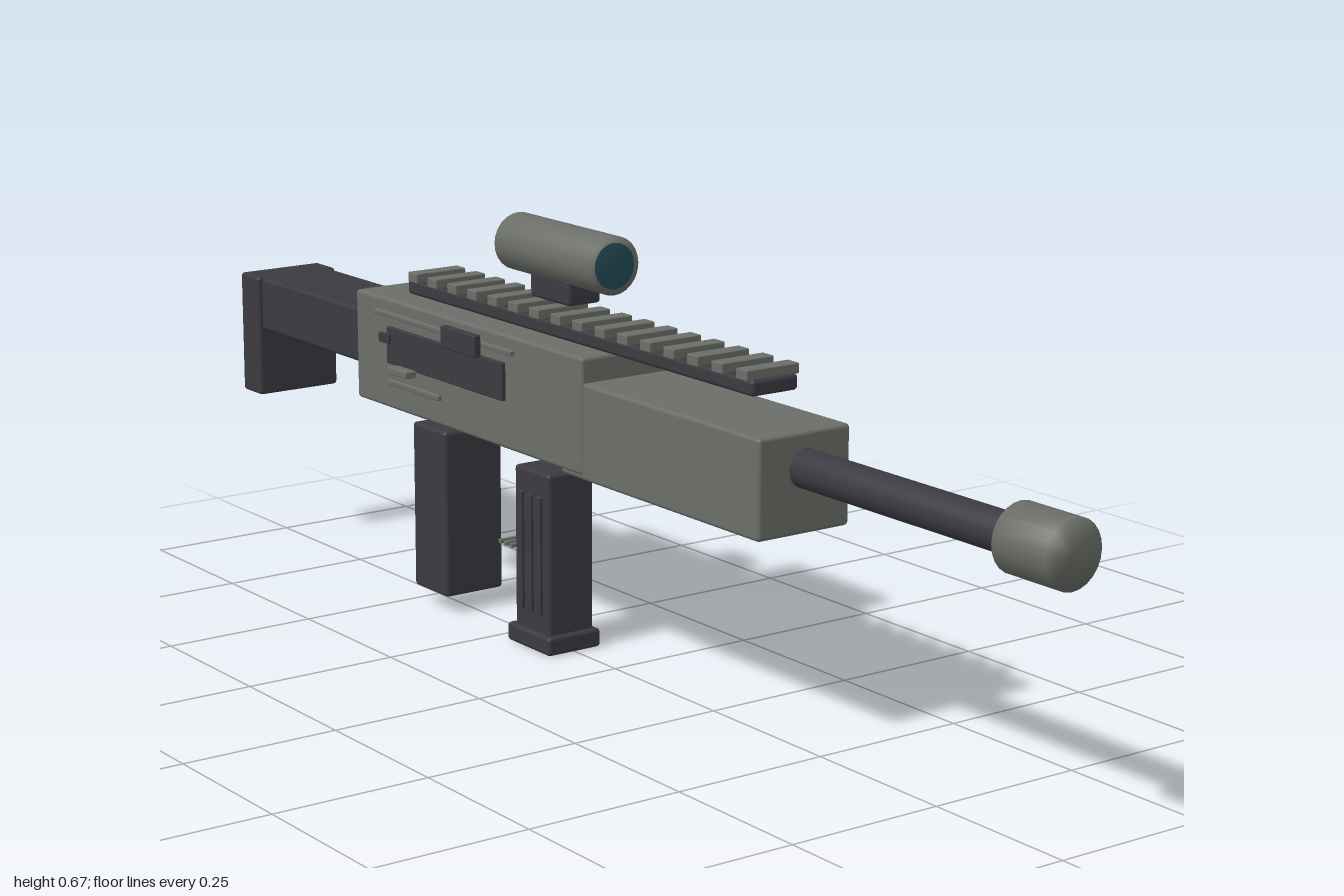
import * as THREE from 'three';
import { RoundedBoxGeometry } from 'three/addons/geometries/RoundedBoxGeometry.js';

export function createModel() {
  const model = new THREE.Group();
  model.name = 'rifle';
  const mat = (name, color) => {
    const m = new THREE.MeshStandardMaterial({ color });
    m.name = name;
    return m;
  };
  const grey = mat('gunmetal grey', 0x6b6e68);
  const dark = mat('dark polymer', 0x3b3a40);
  const glass = mat('lens glass', 0x234b57);

  const add = (name, geometry, material) => {
    const mesh = new THREE.Mesh(geometry, material);
    mesh.name = name;
    model.add(mesh);
    return mesh;
  };
  // Softened box given by its limits on each axis
  const box = (name, material, x0, x1, y0, y1, z0, z1, r = 0.006) => {
    const w = x1 - x0, h = y1 - y0, d = z1 - z0;
    const g = new RoundedBoxGeometry(w, h, d, 2, Math.min(r, w * 0.3, h * 0.3, d * 0.3));
    add(name, g, material).position.set((x0 + x1) / 2, (y0 + y1) / 2, (z0 + z1) / 2);
  };
  // Smoothly shaded closed cylinder along x
  const tube = (name, material, x0, x1, y, r, segments = 24) => {
    const profile = [[0, x0], [r, x0], [r, x1], [0, x1]].map(p => new THREE.Vector2(...p));
    const mesh = add(name, new THREE.LatheGeometry(profile, segments), material);
    mesh.rotation.z = -Math.PI / 2;
    mesh.position.y = y;
  };

  // Body, barrel and stock
  box('receiver', grey, -0.605, 0.035, 0.326, 0.506, -0.084, 0.086);
  box('handguard', grey, -0.025, 0.457, 0.318, 0.467, -0.081, 0.083);
  tube('barrel', dark, 0.43, 0.92, 0.414, 0.029);
  tube('muzzle', grey, 0.9, 1.0, 0.414, 0.05);
  box('stock', dark, -0.96, -0.59, 0.378, 0.468, -0.07, 0.07);
  box('buttPlate', dark, -1.0, -0.94, 0.263, 0.47, -0.076, 0.078);

  // Grip and trigger bars
  box('grip', dark, -0.487, -0.39, 0.028, 0.303, -0.054, 0.055);
  for (let i = 0; i < 3; i++) {
    const x = -0.381 + i * 0.016;
    box('triggerBar', grey, x - 0.004, x + 0.004, 0.106, 0.113, -0.118, -0.042, 0.001);
  }

  // Magazine with ribs on both sides
  box('magazine', dark, -0.21, -0.115, 0.025, 0.288, -0.041, 0.043);
  box('magazineBase', dark, -0.222, -0.105, 0.0, 0.03, -0.048, 0.051);
  for (const x of [-0.188, -0.163, -0.138])
    for (const z of [-0.041, 0.043])
      box('magazineRib', dark, x - 0.005, x + 0.005, 0.06, 0.25, z - 0.005, z + 0.005, 0.002);

  // Top rail
  box('railBase', dark, -0.515, 0.39, 0.508, 0.532, -0.04, 0.043);
  for (let i = 0; i < 16; i++) {
    const x = -0.492 + i * 0.0575;
    box('railTooth', grey, x - 0.013, x + 0.013, 0.53, 0.546, -0.046, 0.048, 0.002);
  }

  // Sight
  tube('scope', grey, -0.257, -0.003, 0.629, 0.045);
  tube('frontLens', glass, -0.005, 0.0, 0.629, 0.035);
  tube('rearLens', glass, -0.26, -0.255, 0.629, 0.035);
  box('scopeMount', dark, -0.183, -0.078, 0.557, 0.598, -0.03, 0.03);

  // Ejection port and controls on the front side
  box('ejectionPort', dark, -0.487, -0.155, 0.406, 0.466, 0.094, 0.102, 0.002);
  box('slideRod', grey, -0.515, -0.12, 0.484, 0.492, 0.1, 0.109, 0.002);
  box('slideBlock', dark, -0.297, -0.2, 0.468, 0.503, 0.109, 0.122, 0.003);
  box('portLatch', dark, -0.485, -0.455, 0.444, 0.46, 0.112, 0.118, 0.002);
  box('selector', grey, -0.445, -0.39, 0.4, 0.411, 0.107, 0.127, 0.002);
  box('lowerRod', grey, -0.455, -0.308, 0.379, 0.388, 0.112, 0.12, 0.002);

  // Charging handle and vents on the rear side
  box('chargingHandle', grey, -0.396, -0.305, 0.474, 0.511, -0.126, -0.06);
  for (let i = 0; i < 6; i++) {
    const x = 0.005 + i * 0.0715;
    box('vent', dark, x - 0.018, x + 0.018, 0.369, 0.423, -0.089, -0.08, 0.002);
  }
  return model;
}
